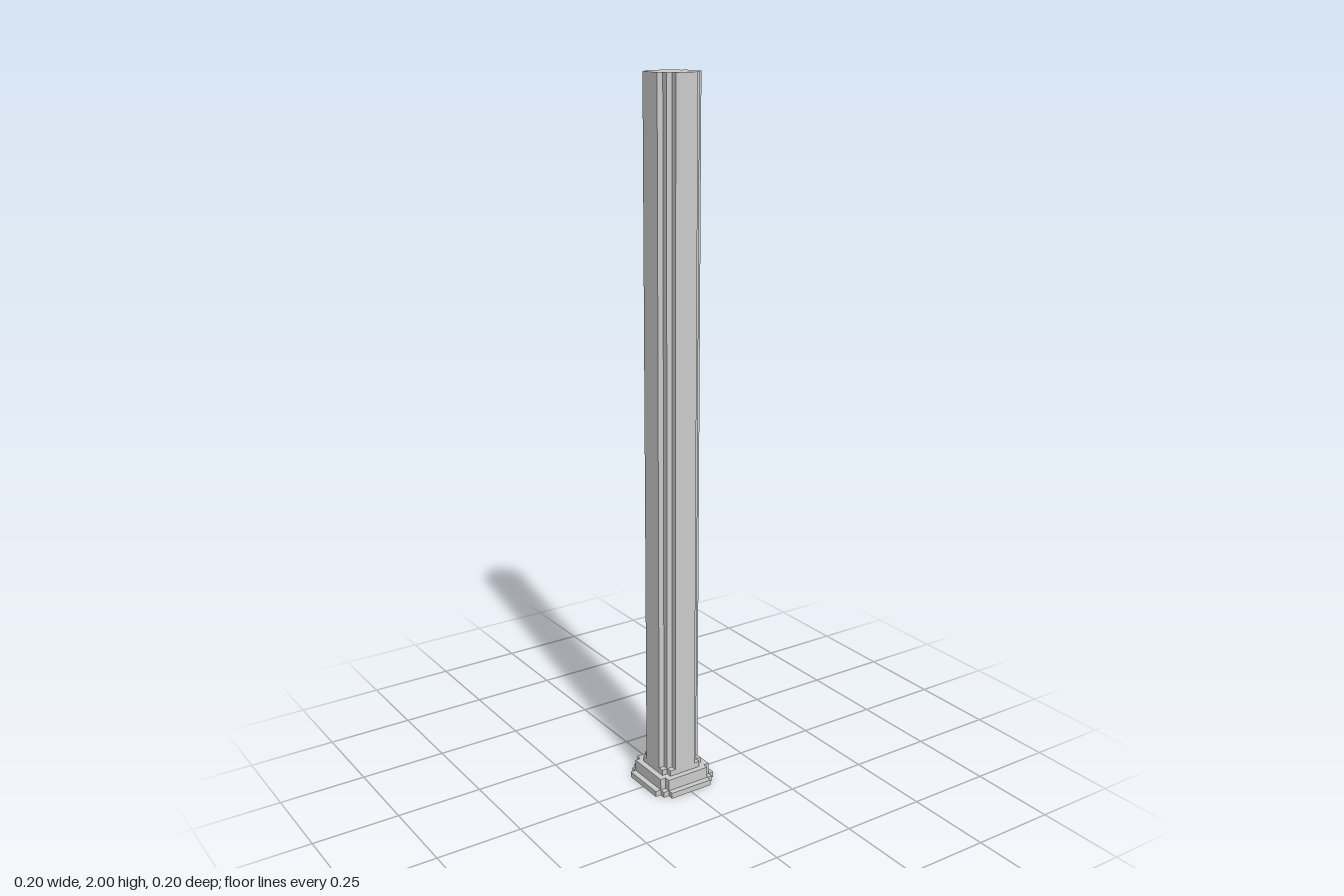
import * as THREE from 'three';

const U = 1 / 60; // one grid step; the pillar is 120 steps tall

// Mirrors the stepped corner of one quadrant into a full outline and extrudes it upward.
function steppedTier(name, corner, y0, y1, material) {
  const points = [];
  for (const [sx, sz] of [[1, 1], [-1, 1], [-1, -1], [1, -1]]) {
    const quadrant = corner.map(([x, z]) => new THREE.Vector2(x * sx * U, z * sz * U));
    if (sx * sz < 0) quadrant.reverse();
    points.push(...quadrant);
  }
  const geometry = new THREE.ExtrudeGeometry(new THREE.Shape(points), {
    depth: (y1 - y0) * U,
    bevelEnabled: false,
  });
  geometry.rotateX(-Math.PI / 2);
  geometry.translate(0, y0 * U, 0);
  const mesh = new THREE.Mesh(geometry, material);
  mesh.name = name;
  return mesh;
}

export function createModel() {
  const group = new THREE.Group();
  group.name = 'pillar';
  const material = new THREE.MeshStandardMaterial({ color: 0xcccccc, flatShading: true });

  // Corner steps run from the +x side round to the +z side.
  const tiers = [
    ['basePlate', [[6, 4], [5, 4], [5, 5], [4, 5], [4, 6]], 0, 1],
    ['baseBlock', [[5, 4], [4, 4], [4, 5]], 1, 3],
    ['shaftCollar', [[4, 3], [3, 3], [3, 4]], 3, 4],
    ['shaft', [[4, 2], [3, 2], [3, 3], [2, 3], [2, 4]], 4, 120],
  ];
  for (const [name, corner, y0, y1] of tiers) {
    group.add(steppedTier(name, corner, y0, y1, material));
  }
  return group;
}
